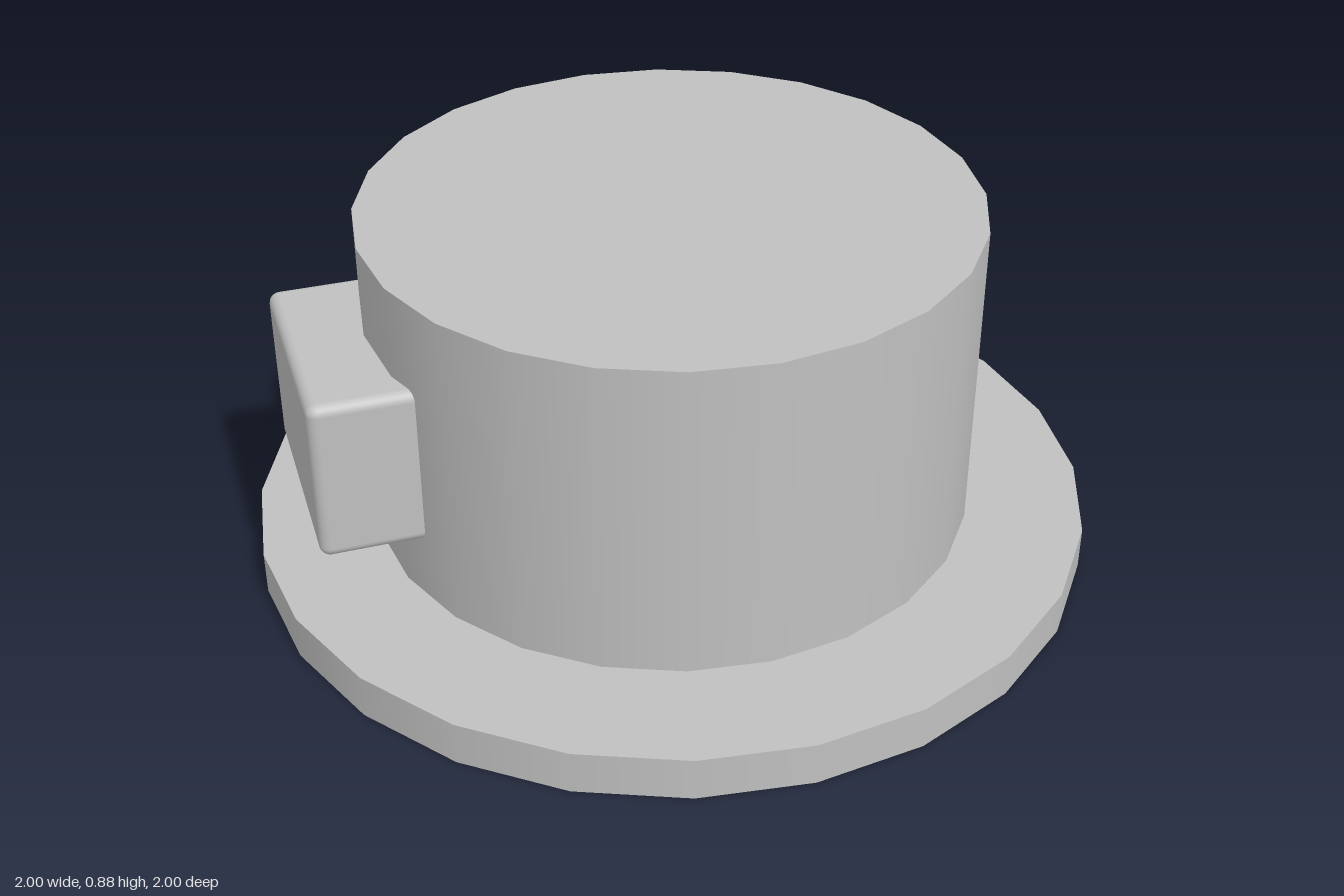
import * as THREE from 'three';
import { RoundedBoxGeometry } from 'three/addons/geometries/RoundedBoxGeometry.js';

export function createModel() {
  const model = new THREE.Group();
  model.name = 'knobOnBase';
  const grey = new THREE.MeshStandardMaterial({ color: 0xc0c0c0 });
  grey.name = 'plain grey';

  const add = (name, geometry, x, y, z) => {
    const mesh = new THREE.Mesh(geometry, grey);
    mesh.name = name;
    mesh.position.set(x, y, z);
    model.add(mesh);
  };

  // Upright 24-sided disc between two heights
  const disc = (name, radius, bottom, top) =>
    add(name, new THREE.CylinderGeometry(radius, radius, top - bottom, 24), 0, (bottom + top) / 2, 0);

  disc('baseFlange', 1, 0, 0.105);
  disc('drumBody', 0.72, 0.105, 0.875);

  // Rounded block on the right side, its inner end sunk into the drum
  add('sideBlock', new RoundedBoxGeometry(0.4, 0.395, 0.535, 3, 0.025), -0.695, 0.4575, 0);

  return model;
}
